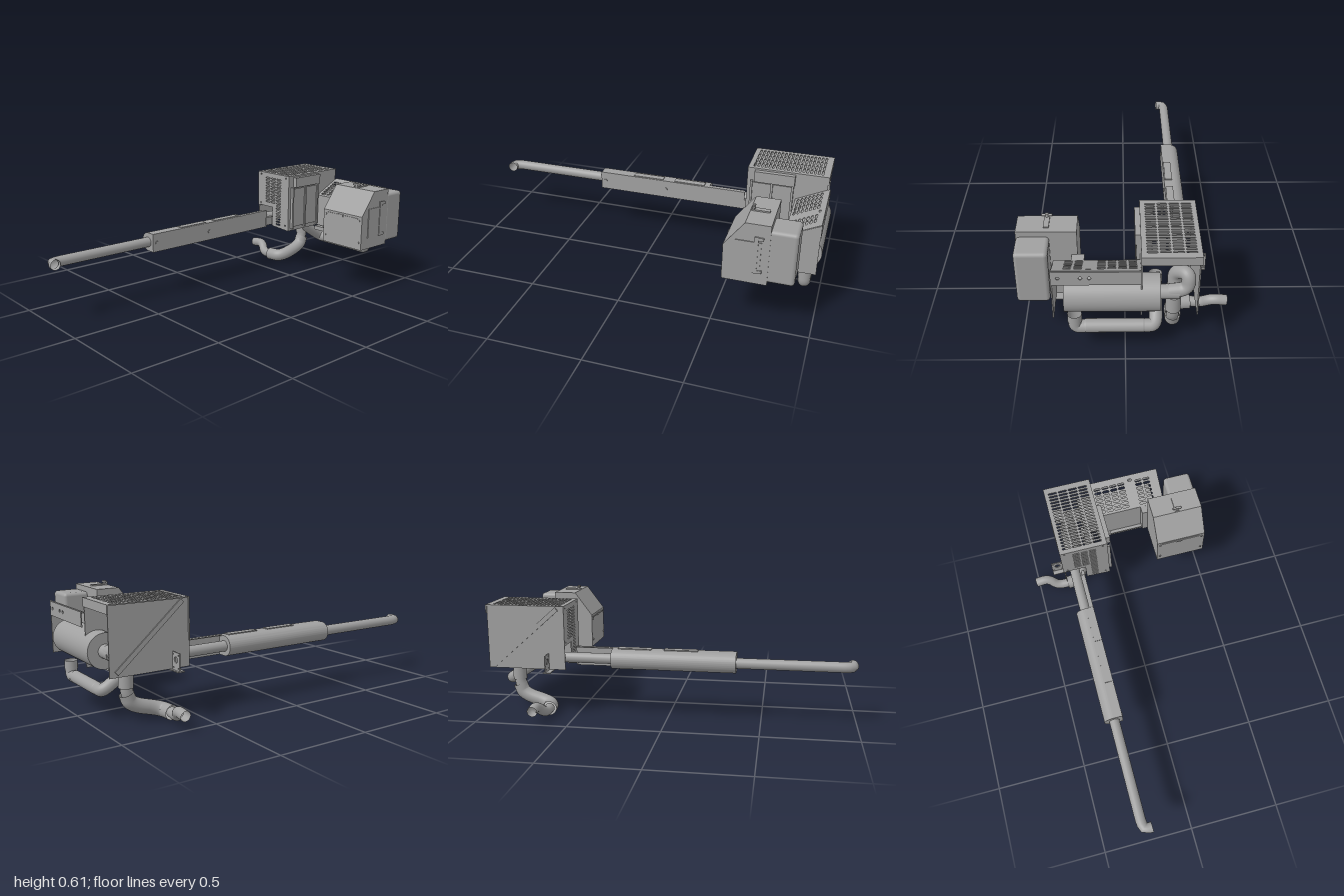
import * as THREE from 'three';
import { toCreasedNormals } from 'three/addons/utils/BufferGeometryUtils.js';
import { RoundedBoxGeometry } from 'three/addons/geometries/RoundedBoxGeometry.js';

export function createModel() {
  const root = new THREE.Group();
  root.name = 'exhaustAndEnclosureAssembly';
  const steel = new THREE.MeshStandardMaterial({ color: 0xa0a0a0, side: THREE.DoubleSide });
  steel.name = 'grey steel';
  const V = (p) => new THREE.Vector3(...p);

  function add(name, geo, pos = [0, 0, 0], parent = root) {
    const m = new THREE.Mesh(geo, steel);
    m.name = name;
    m.position.set(...pos);
    parent.add(m);
    return m;
  }
  // Box given by its extents
  function box(name, x0, x1, y0, y1, z0, z1) {
    return add(name, new THREE.BoxGeometry(x1 - x0, y1 - y0, z1 - z0),
      [(x0 + x1) / 2, (y0 + y1) / 2, (z0 + z1) / 2]);
  }
  // Cylinder between two points
  function rod(name, a, b, r0, r1 = r0, sides = 32) {
    const p = V(a), q = V(b);
    const m = add(name, new THREE.CylinderGeometry(r1, r0, p.distanceTo(q), sides));
    m.position.copy(p).add(q).multiplyScalar(0.5);
    m.quaternion.setFromUnitVectors(new THREE.Vector3(0, 1, 0), q.sub(p).normalize());
    return m;
  }
  // Pipe through points with rounded corners
  function pipe(name, pts, r, bend) {
    const path = new THREE.CurvePath();
    const P = pts.map(V);
    let last = P[0];
    for (let i = 1; i < P.length - 1; i++) {
      const toward = (o) => {
        const d = o.clone().sub(P[i]);
        return P[i].clone().addScaledVector(d.clone().normalize(), Math.min(bend, d.length() * 0.48));
      };
      const a = toward(P[i - 1]), b = toward(P[i + 1]);
      path.add(new THREE.LineCurve3(last, a));
      path.add(new THREE.QuadraticBezierCurve3(a, P[i], b));
      last = b;
    }
    path.add(new THREE.LineCurve3(last, P[P.length - 1]));
    return add(name, new THREE.TubeGeometry(path, 90, r, 24), [0, 0, 0]);
  }
  const outline = (pts) => new THREE.Shape(pts.map((p) => new THREE.Vector2(...p)));
  const rect = (a, b, c, d) => outline([[a, c], [b, c], [b, d], [a, d]]);
  const extrude = (shape, depth, curveSegments = 3) =>
    new THREE.ExtrudeGeometry(shape, { depth, bevelEnabled: false, curveSegments });
  // Rounded slot cut through a panel
  function slot(shape, u, v, w, h) {
    const p = new THREE.Path(), r = h / 2, k = w / 2 - r;
    p.absarc(u + k, v, r, -Math.PI / 2, Math.PI / 2);
    p.absarc(u - k, v, r, Math.PI / 2, Math.PI * 1.5);
    p.closePath();
    shape.holes.push(p);
  }
  const hole = (shape, u, v, r) => {
    const p = new THREE.Path();
    p.absarc(u, v, r, 0, Math.PI * 2);
    shape.holes.push(p);
  };
  const T = 0.006;

  // Slotted enclosure: front, top and two side panels, open behind and below
  const front = outline([[-0.21, 0.275], [-0.07, 0.265], [-0.07, 0.61], [-0.34, 0.61], [-0.34, 0.395], [-0.21, 0.395]]);
  [-0.252, -0.205, -0.157].forEach((x, c) => {
    for (let i = 0; i < 18; i++) {
      const y = 0.577 - i * 0.0168;
      if (c === 2 || y > 0.415) slot(front, x, y, 0.038, 0.008);
    }
  });
  [[-0.315, 0.595], [-0.095, 0.595], [-0.315, 0.41], [-0.095, 0.295]].forEach(([x, y]) => hole(front, x, y, 0.005));
  add('enclosureFront', extrude(front, T), [0, 0, -0.55]);

  const top = rect(-0.34, -0.07, -0.975, -0.545);
  for (const x of [-0.293, -0.235, -0.177, -0.119])
    for (let i = 0; i < 19; i++) slot(top, x, -0.935 + i * 0.02, 0.05, 0.01);
  add('enclosureTop', extrude(top, T).rotateX(Math.PI / 2), [0, 0.61, 0]);

  const side = rect(-0.97, -0.545, 0.265, 0.61);
  add('enclosureInnerSide', extrude(side, T).rotateY(-Math.PI / 2), [-0.07, 0, 0]);
  add('enclosureOuterSide', extrude(side, T).rotateY(-Math.PI / 2), [-0.328, 0, 0]);
  const brace = box('diagonalBrace', -0.341, -0.333, -0.235, 0.235, -0.012, 0.012);
  brace.position.set(-0.337, 0.44, -0.76);
  brace.rotation.x = 0.85;
  box('enclosureRearRail', -0.34, -0.07, 0.565, 0.61, -0.975, -0.968);
  box('enclosureSideFlange', -0.07, -0.045, 0.54, 0.6, -0.8, -0.585);
  box('sideDoor', -0.07, -0.06, 0.29, 0.53, -0.79, -0.57);
  for (const z of [-0.57, -0.68, -0.79]) box('sideDoorRib', -0.07, -0.052, 0.28, 0.54, z - 0.006, z + 0.006);

  // Mounting bracket with round hole
  const bracket = rect(-0.4, -0.33, 0.26, 0.352);
  hole(bracket, -0.365, 0.315, 0.015);
  for (const x of [-0.39, -0.342]) for (const y of [0.275, 0.34]) hole(bracket, x, y, 0.004);
  add('mountingBracket', extrude(bracket, T, 12), [0, 0, -0.64]);
  box('bracketFoot', -0.4, -0.3, 0.258, 0.263, -0.65, -0.61);

  // Low housing with sloped, slotted top and an open back
  box('housingFront', -0.07, 0.33, 0.265, 0.46, -0.816, -0.81);
  const slope = rect(-0.07, 0.33, 0, 0.1945);
  for (const x of [-0.035, 0.0125, 0.06, 0.1075, 0.212, 0.26])
    for (let i = 0; i < 7; i++) slot(slope, x, 0.02 + i * 0.022, 0.038, 0.012);
  slot(slope, 0.163, 0.165, 0.024, 0.012);
  add('housingSlopedTop', extrude(slope, 0.004).rotateX(-Math.atan2(0.175, 0.085)), [0, 0.457, -0.811]);
  const rear = rect(-0.07, 0.33, 0.465, 0.54);
  for (const x of [0.16, 0.2, 0.3]) hole(rear, x, 0.505, 0.009);
  add('housingRearStrip', extrude(rear, T), [0, 0, -0.987]);
  const end = outline([[-0.985, 0.265], [-0.81, 0.265], [-0.81, 0.46], [-0.985, 0.543]]);
  add('housingEnd', extrude(end, T).rotateY(-Math.PI / 2), [0.333, 0, 0]);
  box('housingSill', 0, 0.333, 0.26, 0.265, -0.86, -0.79);
  box('underRail', -0.08, 0.235, 0.233, 0.257, -0.86, -0.8);

  // Large canister lying in the housing
  rod('canister', [-0.16, 0.355, -0.91], [0.28, 0.355, -0.91], 0.09, 0.09, 48);
  rod('canisterOutlet', [-0.16, 0.355, -0.91], [-0.25, 0.355, -0.91], 0.035);

  // Control cabinet with sloping front
  const cabinet = outline([[-0.77, 0.268], [-0.545, 0.268], [-0.545, 0.462], [-0.645, 0.595], [-0.77, 0.595]]);
  add('controlCabinet', extrude(cabinet, 0.283).rotateY(-Math.PI / 2), [0.505, 0, 0]);
  add('rearUnit', new RoundedBoxGeometry(0.155, 0.285, 0.14, 3, 0.018), [0.427, 0.425, -0.83]);
  box('cabinetStrut', 0.19, 0.25, 0.28, 0.46, -0.815, -0.765);
  box('frontGrip', 0.25, 0.475, 0.443, 0.45, -0.546, -0.541);
  box('frontLatch', 0.335, 0.37, 0.44, 0.453, -0.545, -0.539);
  box('sidePlate', 0.505, 0.509, 0.33, 0.5, -0.73, -0.6);
  box('sideHandle', 0.505, 0.512, 0.33, 0.53, -0.715, -0.695);
  for (const y of [0.34, 0.52]) box('sideHandleEnd', 0.505, 0.512, y - 0.008, y + 0.008, -0.74, -0.695);
  for (const x of [0.24, 0.487]) for (const y of [0.31, 0.437])
    rod('cabinetBolt', [x, y, -0.546], [x, y, -0.54], 0.006, 0.006, 10);
  for (const x of [0.29, 0.43]) rod('cabinetFoot', [x, 0.27, -0.66], [x, 0.258, -0.66], 0.03);
  rod('topLatchPost', [0.365, 0.59, -0.66], [0.365, 0.62, -0.66], 0.008, 0.008, 12);
  rod('topLatchBar', [0.34, 0.611, -0.66], [0.39, 0.611, -0.66], 0.006, 0.006, 12);
  box('topLatchPlate', 0.352, 0.378, 0.595, 0.602, -0.74, -0.65);

  // Drop pipe, curling forward then out to the side
  pipe('dropPipe', [[-0.23, 0.38, -0.84], [-0.23, 0.16, -0.84], [-0.23, 0.12, -0.82]], 0.031, 0.04);
  rod('dropPipeCollar', [-0.23, 0.27, -0.84], [-0.23, 0.18, -0.84], 0.037);
  pipe('dropPipeElbow', [[-0.23, 0.15, -0.84], [-0.23, 0.09, -0.82], [-0.235, 0.045, -0.655], [-0.33, 0.043, -0.645]], 0.038, 0.085);
  pipe('sideOutlet', [[-0.32, 0.045, -0.645], [-0.39, 0.04, -0.648], [-0.44, 0.09, -0.68], [-0.515, 0.08, -0.678]], 0.027, 0.04);
  pipe('dropPipeInlet', [[-0.2, 0.36, -0.91], [-0.29, 0.37, -0.91], [-0.29, 0.46, -0.9], [-0.23, 0.42, -0.84], [-0.23, 0.34, -0.84]], 0.033, 0.05);

  // U-shaped pipe with small silencer beneath the housing
  pipe('returnPipe', [[-0.145, 0.34, -0.76], [-0.145, 0.255, -0.77], [-0.145, 0.155, -0.925], [-0.09, 0.155, -0.925]], 0.032, 0.05);
  rod('silencerBody', [-0.085, 0.155, -0.925], [0.185, 0.155, -0.925], 0.033);
  rod('silencerTaper', [-0.085, 0.155, -0.925], [-0.105, 0.155, -0.925], 0.033, 0.025);
  rod('silencerTaper', [0.185, 0.155, -0.925], [0.205, 0.155, -0.925], 0.033, 0.025);
  pipe('returnElbow', [[0.19, 0.152, -0.925], [0.238, 0.152, -0.925], [0.238, 0.21, -0.925]], 0.032, 0.05);
  pipe('returnOutlet', [[0.238, 0.19, -0.925], [0.238, 0.235, -0.925]], 0.034, 0.01);

  // Long forward pipe, turned sideways at its tip
  pipe('longPipe', [[-0.27, 0.46, -0.8], [-0.27, 0.322, -0.78], [-0.275, 0.322, -0.5],
    [-0.273, 0.322, 0.3], [-0.273, 0.322, 0.967], [-0.222, 0.322, 0.965]], 0.028, 0.06);

  // Heat shield: half-round cover and long flat plate
  const cover = new THREE.Shape();
  cover.moveTo(-0.23, 0.27);
  cover.lineTo(-0.23, 0.375);
  cover.lineTo(-0.275, 0.375);
  cover.absarc(-0.275, 0.3225, 0.0525, Math.PI / 2, Math.PI * 1.5);
  cover.closePath();
  add('heatShieldCover', toCreasedNormals(extrude(cover, 0.665, 16), 0.6), [0, 0, -0.3]);
  box('heatShieldPlate', -0.231, -0.225, 0.27, 0.375, -0.51, 0.366);
  box('heatShieldFlange', -0.25, -0.226, 0.371, 0.376, -0.51, -0.3);
  for (const z of [0.07, -0.18]) box('heatShieldClip', -0.27, -0.23, 0.374, 0.38, z - 0.09, z + 0.09);
  for (const z of [0.34, -0.04]) rod('shieldBolt', [-0.227, 0.322, z], [-0.221, 0.322, z], 0.01, 0.01, 12);
  box('shieldBracket', -0.24, -0.222, 0.28, 0.33, -0.56, -0.5);

  return root;
}
